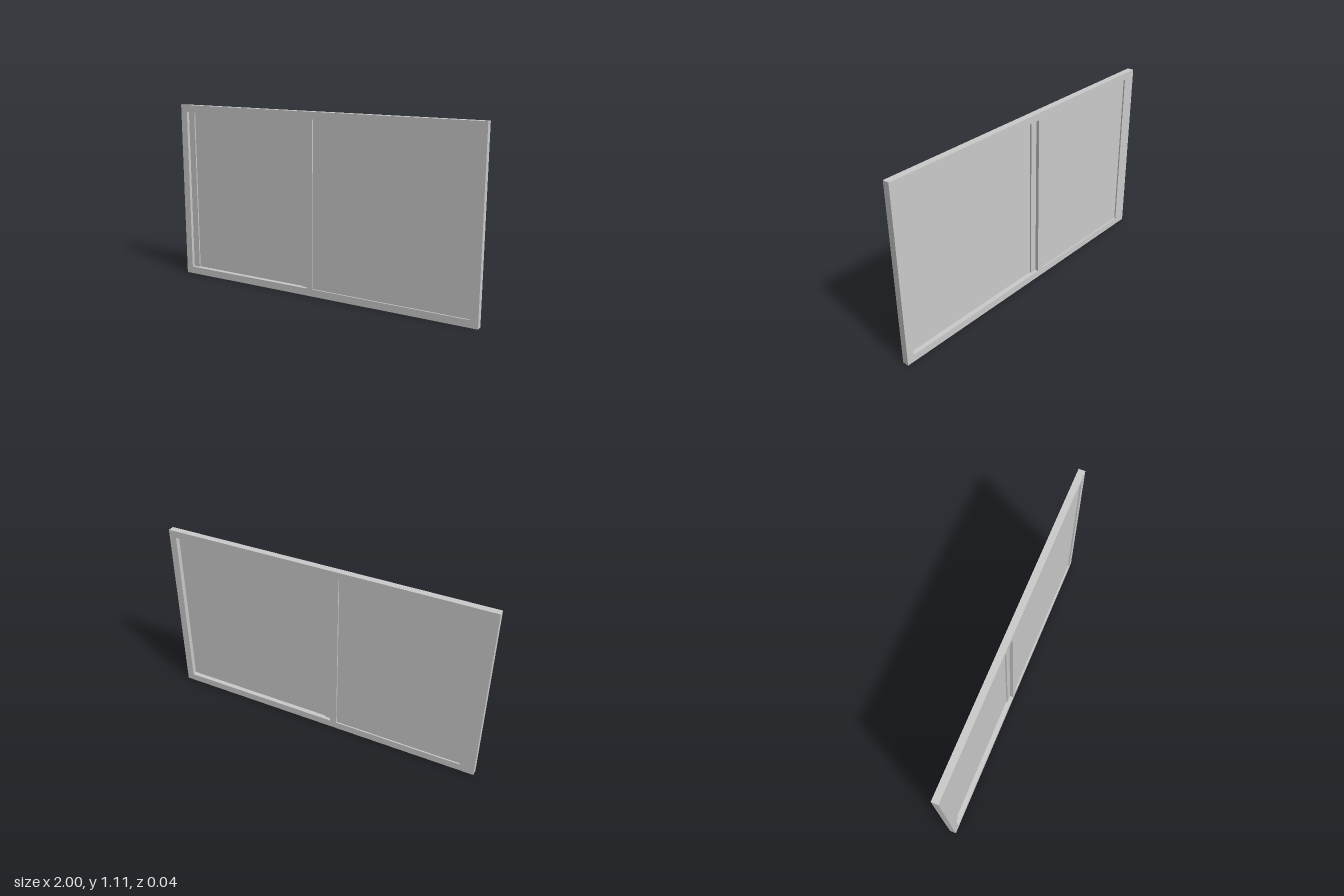
import * as THREE from 'three';

const W = 2, H = 1.11, HALF_DEPTH = 0.02;
const SILL = 0.045, HEAD = 1.067; // bottom and top of the openings

// Rectangle path from two corners
function rect(path, x0, y0, x1, y1) {
  path.moveTo(x0, y0);
  path.lineTo(x1, y0);
  path.lineTo(x1, y1);
  path.lineTo(x0, y1);
  path.closePath();
  return path;
}

export function createModel() {
  const group = new THREE.Group();
  group.name = 'slidingWindow';
  const material = new THREE.MeshStandardMaterial({ color: 0xcccccc, flatShading: true });

  function add(name, geometry) {
    const mesh = new THREE.Mesh(geometry, material);
    mesh.name = name;
    group.add(mesh);
    return mesh;
  }

  // Frame in two layers; the stiles of each layer are offset like overlapping sashes
  function frameLayer(name, z, openings) {
    const shape = rect(new THREE.Shape(), -W / 2, 0, W / 2, H);
    for (const [x0, x1] of openings) shape.holes.push(rect(new THREE.Path(), x0, SILL, x1, HEAD));
    add(name, new THREE.ExtrudeGeometry(shape, { depth: HALF_DEPTH, bevelEnabled: false })).position.z = z;
  }
  frameLayer('frontFrame', 0, [[-0.955, -0.072], [-0.029, 0.955]]);
  frameLayer('backFrame', -HALF_DEPTH, [[-0.912, -0.115], [-0.072, 0.955]]);

  // Panes: the one at -x sits in the back layer, the one at +x in the front layer
  function pane(name, x0, x1, z) {
    const box = new THREE.BoxGeometry(x1 - x0, HEAD - SILL, 0.002);
    add(name, box).position.set((x0 + x1) / 2, (SILL + HEAD) / 2, z);
  }
  pane('rightPane', -0.912, -0.115, -0.01);
  pane('leftPane', -0.029, 0.955, 0.01);

  return group;
}
